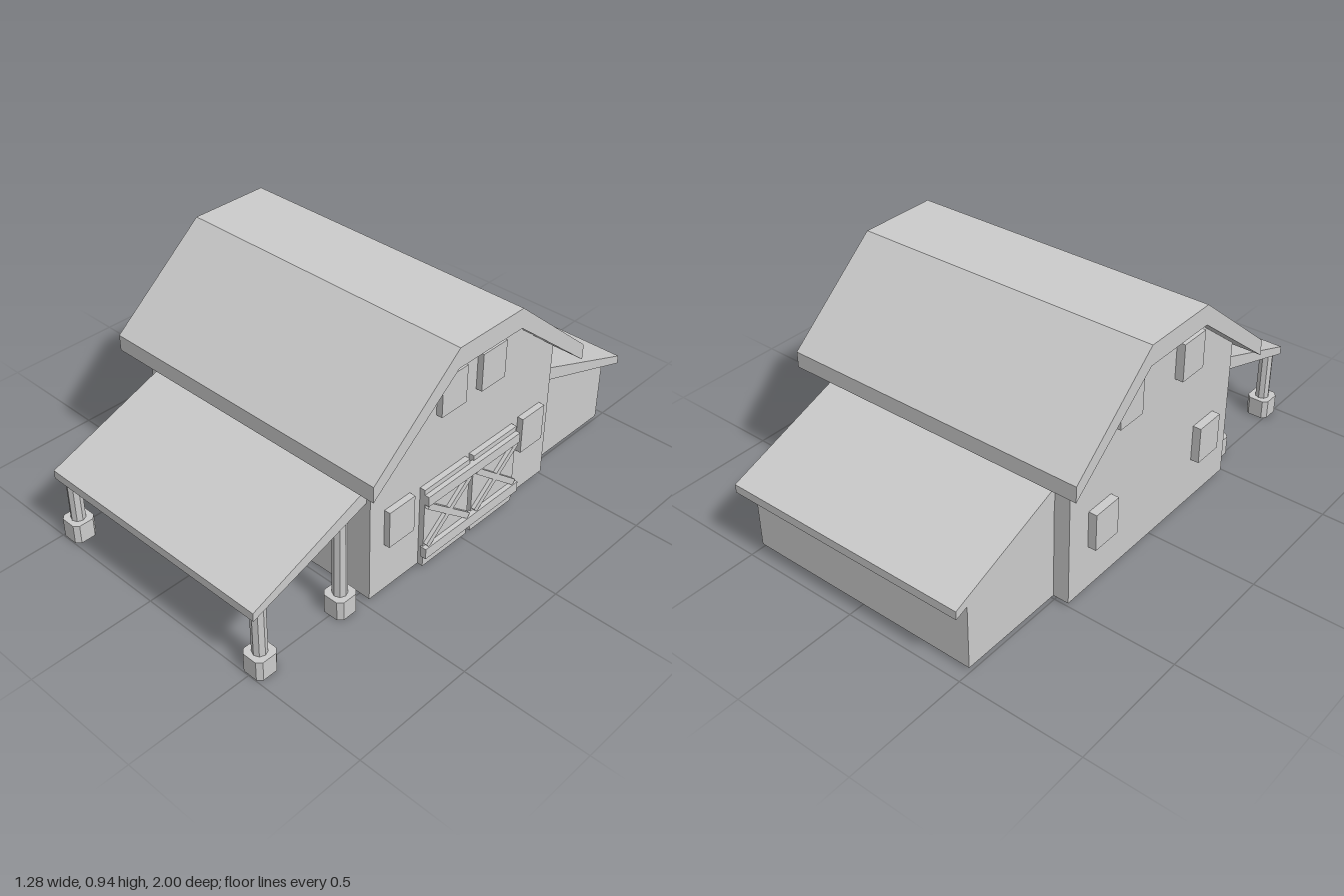
import * as THREE from 'three';

const mat = new THREE.MeshStandardMaterial({ color: 0xcccccc, flatShading: true, side: THREE.DoubleSide });

function add(parent, name, geo, x = 0, y = 0, z = 0) {
  const mesh = new THREE.Mesh(geo, mat);
  mesh.name = name;
  mesh.position.set(x, y, z);
  parent.add(mesh);
  return mesh;
}

const shapeOf = (pts) => new THREE.Shape(pts.map(([a, b]) => new THREE.Vector2(a, b)));

// Side profile given as [z, y] points, extruded from x0 to x1
function prism(pts, x0, x1) {
  const geo = new THREE.ExtrudeGeometry(shapeOf(pts), { depth: x1 - x0, bevelEnabled: false });
  return geo.rotateY(-Math.PI / 2).translate(x1, 0, 0);
}

// Flat wall given as [z, y] points, standing at x
const sideWall = (pts, x) => new THREE.ShapeGeometry(shapeOf(pts)).rotateY(-Math.PI / 2).translate(x, 0, 0);

// Flat wall facing z
function crossWall(x0, x1, y0, y1, z) {
  return new THREE.PlaneGeometry(x1 - x0, y1 - y0).translate((x0 + x1) / 2, (y0 + y1) / 2, z);
}

// Box given by its limits
function block(x0, x1, y0, y1, z0, z1) {
  return new THREE.BoxGeometry(x1 - x0, y1 - y0, z1 - z0)
    .translate((x0 + x1) / 2, (y0 + y1) / 2, (z0 + z1) / 2);
}

export function createModel() {
  const barn = new THREE.Group();
  barn.name = 'barn';

  // Main walls, open underneath
  const gable = [[0.48, 0.015], [0.48, 0.6], [0.15, 0.86], [-0.18, 0.86], [-0.5, 0.6], [-0.5, 0.015]];
  const walls = new THREE.Group();
  walls.name = 'mainWalls';
  barn.add(walls);
  add(walls, 'rightGableWall', sideWall(gable, 0.555));
  add(walls, 'leftGableWall', sideWall(gable, -0.56));
  add(walls, 'frontWall', crossWall(-0.56, 0.555, 0.015, 0.6, 0.48));
  add(walls, 'backWall', crossWall(-0.56, 0.555, 0.015, 0.6, -0.5));

  // Thick main roof with two slopes and a flat top
  add(barn, 'mainRoof', prism([
    [0.555, 0.605], [0.15, 0.94], [-0.18, 0.94], [-0.575, 0.605],
    [-0.575, 0.54], [-0.18, 0.86], [0.15, 0.86], [0.555, 0.54],
  ], -0.64, 0.637));

  // Lower roofs over the porch and the lean-to
  add(barn, 'porchRoof', prism([[0.46, 0.507], [1, 0.305], [1, 0.27], [0.46, 0.445]], -0.497, 0.538));
  add(barn, 'leanToRoof', prism([[-0.5, 0.49], [-1, 0.302], [-1, 0.267], [-0.5, 0.435]], -0.497, 0.538));

  // Lean-to walls
  const leanTo = new THREE.Group();
  leanTo.name = 'leanToWalls';
  barn.add(leanTo);
  const leanSide = [[-0.5, 0.015], [-0.5, 0.44], [-0.945, 0.29], [-0.945, 0.015]];
  add(leanTo, 'leanToRightWall', sideWall(leanSide, 0.5));
  add(leanTo, 'leanToLeftWall', sideWall(leanSide, -0.495));
  add(leanTo, 'leanToBackWall', crossWall(-0.495, 0.5, 0.015, 0.29, -0.945));

  // Porch posts on chamfered footings
  const h = 0.047, c = 0.03;
  const footing = new THREE.ExtrudeGeometry(
    shapeOf([[h, -c], [h, c], [c, h], [-c, h], [-h, c], [-h, -c], [-c, -h], [c, -h]]),
    { depth: 0.08, bevelEnabled: false }).rotateX(-Math.PI / 2);
  for (const x of [-0.461, 0.504]) {
    for (const [z, top] of [[0.95, 0.295], [0.573, 0.42]]) {
      add(barn, 'postFooting', footing, x, 0, z);
      add(barn, 'porchPost', new THREE.CylinderGeometry(0.028, 0.028, top - 0.04, 8), x, (top + 0.04) / 2, z);
    }
  }

  // Windows on both gable ends: [z, y] centres
  const pane = new THREE.BoxGeometry(0.04, 0.153, 0.128);
  for (const [z, y] of [[0.093, 0.712], [-0.117, 0.712], [0.345, 0.297], [-0.38, 0.297]]) {
    add(barn, 'rightWindow', pane, 0.56, y, z);
  }
  for (const [z, y] of [[0.16, 0.712], [-0.21, 0.712], [0.31, 0.275], [-0.33, 0.275]]) {
    add(barn, 'leftWindow', pane, -0.574, y, z);
  }

  // Double barn door with rails and crossed braces
  const doors = new THREE.Group();
  doors.name = 'barnDoors';
  barn.add(doors);
  add(doors, 'doorPanel', block(0.55, 0.578, 0.015, 0.363, -0.015, 0.227));
  add(doors, 'doorPanel', block(0.55, 0.578, 0.015, 0.363, -0.28, -0.037));
  add(doors, 'topRail', block(0.57, 0.597, 0.3, 0.342, -0.28, 0.227));
  add(doors, 'bottomRail', block(0.57, 0.597, 0.063, 0.108, -0.29, 0.233));
  for (const z of [0.106, -0.159]) {
    for (const s of [-1, 1]) {
      const brace = add(doors, 'doorBrace', new THREE.BoxGeometry(0.022, 0.024, 0.29), 0.582, 0.205, z);
      brace.rotation.x = s * Math.atan2(0.19, 0.235);
    }
  }

  return barn;
}
